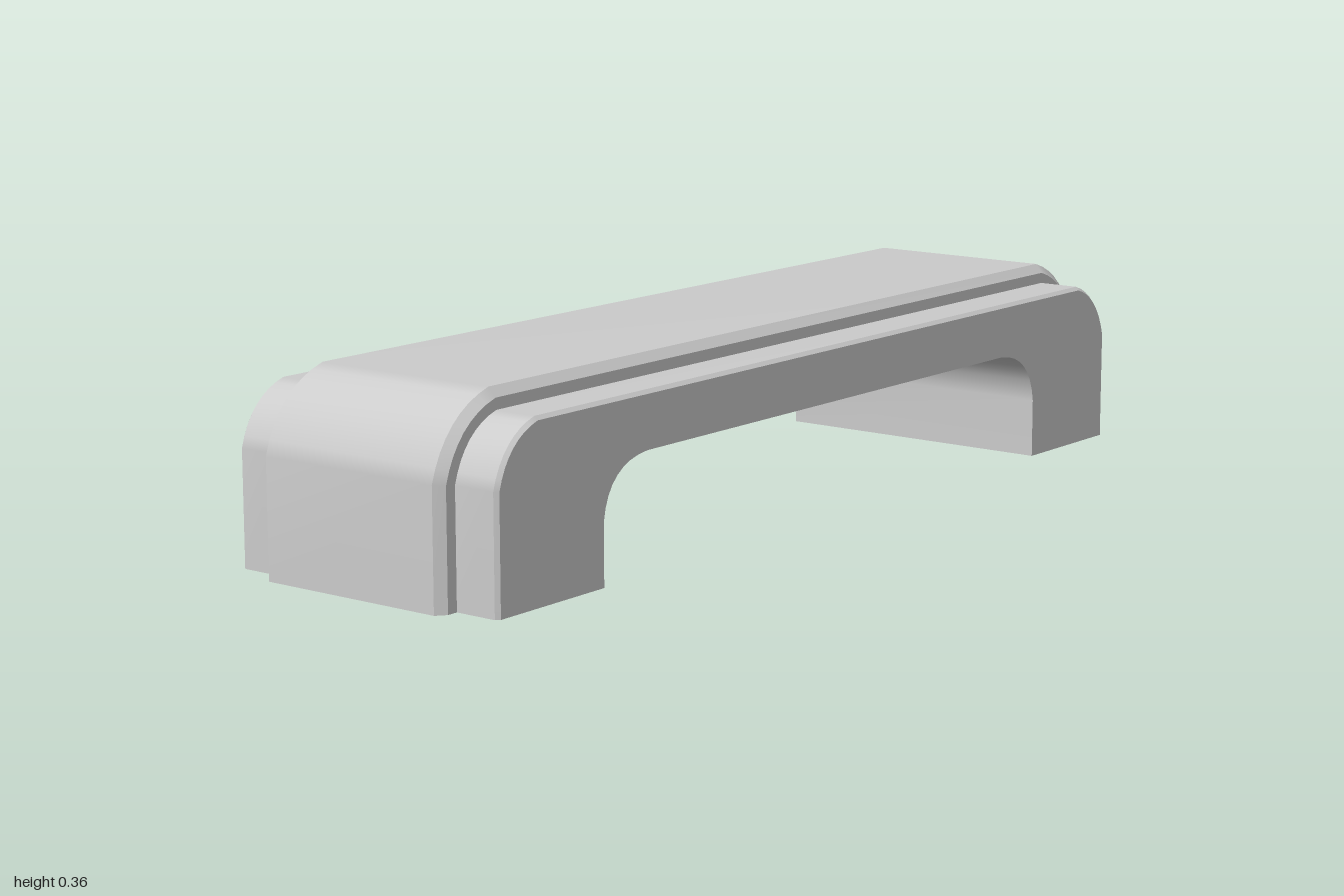
import * as THREE from 'three';

const material = new THREE.MeshStandardMaterial({ color: 0xcccccc, side: THREE.DoubleSide });
const HALF_DEPTH = 0.295;

// Leg, bent corner and flat run for the +x half, mirrored to the -x half
function mirroredPath(foot, bend, ctrl, flat, segments) {
  const curve = new THREE.QuadraticBezierCurve(
    new THREE.Vector2(...bend), new THREE.Vector2(...ctrl), new THREE.Vector2(...flat));
  const half = [new THREE.Vector2(...foot), ...curve.getPoints(segments)];
  return [...half, ...half.map(p => new THREE.Vector2(-p.x, p.y)).reverse()];
}

// Smooth ribbon between two outlines lying at depths z0 < z1
function ribbon(a, z0, b, z1, name) {
  const pos = [], index = [];
  a.forEach((p, i) => {
    pos.push(p.x, p.y, z0, b[i].x, b[i].y, z1);
    if (i) {
      const k = 2 * i;
      index.push(k - 2, k, k - 1, k, k + 1, k - 1);
    }
  });
  const geo = new THREE.BufferGeometry();
  geo.setAttribute('position', new THREE.Float32BufferAttribute(pos, 3));
  geo.setIndex(index);
  geo.computeVertexNormals();
  const mesh = new THREE.Mesh(geo, material);
  mesh.name = name;
  return mesh;
}

export function createModel() {
  const group = new THREE.Group();
  group.name = 'handle';

  // Outlines: raised centre band, lower side bands, inside of the grip
  const outer = mirroredPath([1, 0], [1, 0.22], [0.967, 0.332], [0.857, 0.363], 8);
  const inner = mirroredPath([0.96, 0], [0.96, 0.215], [0.936, 0.302], [0.855, 0.325], 8);
  const arch = mirroredPath([0.685, 0], [0.685, 0.115], [0.672, 0.212], [0.565, 0.22], 8).reverse();
  const outline = t => outer.map((p, i) => p.clone().lerp(inner[i], t));

  // Stepped cross-section: [depth, drop from raised band to side band]
  const half = [[-HALF_DEPTH, 1.18], [-0.288, 1], [-0.205, 1], [-0.205, 0.45], [-0.19, 0]];
  const section = [...half, ...half.map(([z, t]) => [-z, t]).reverse()];
  const names = ['sideEdge', 'sideBand', 'step', 'bandChamfer', 'raisedBand',
    'bandChamfer', 'step', 'sideBand', 'sideEdge'];
  names.forEach((name, i) => {
    const [z0, t0] = section[i], [z1, t1] = section[i + 1];
    group.add(ribbon(outline(t0), z0, outline(t1), z1, name));
  });

  // Underside of the grip; the feet stay open at the bottom
  group.add(ribbon(arch, -HALF_DEPTH, arch, HALF_DEPTH, 'gripUnderside'));

  // Flat arch-shaped cheeks on front and back
  const cheekShape = new THREE.Shape([...outline(1.18), ...arch]);
  for (const side of [1, -1]) {
    const cheek = new THREE.Mesh(new THREE.ShapeGeometry(cheekShape), material);
    cheek.name = side > 0 ? 'frontCheek' : 'backCheek';
    cheek.position.z = side * HALF_DEPTH;
    if (side < 0) cheek.rotation.y = Math.PI;
    group.add(cheek);
  }
  return group;
}
